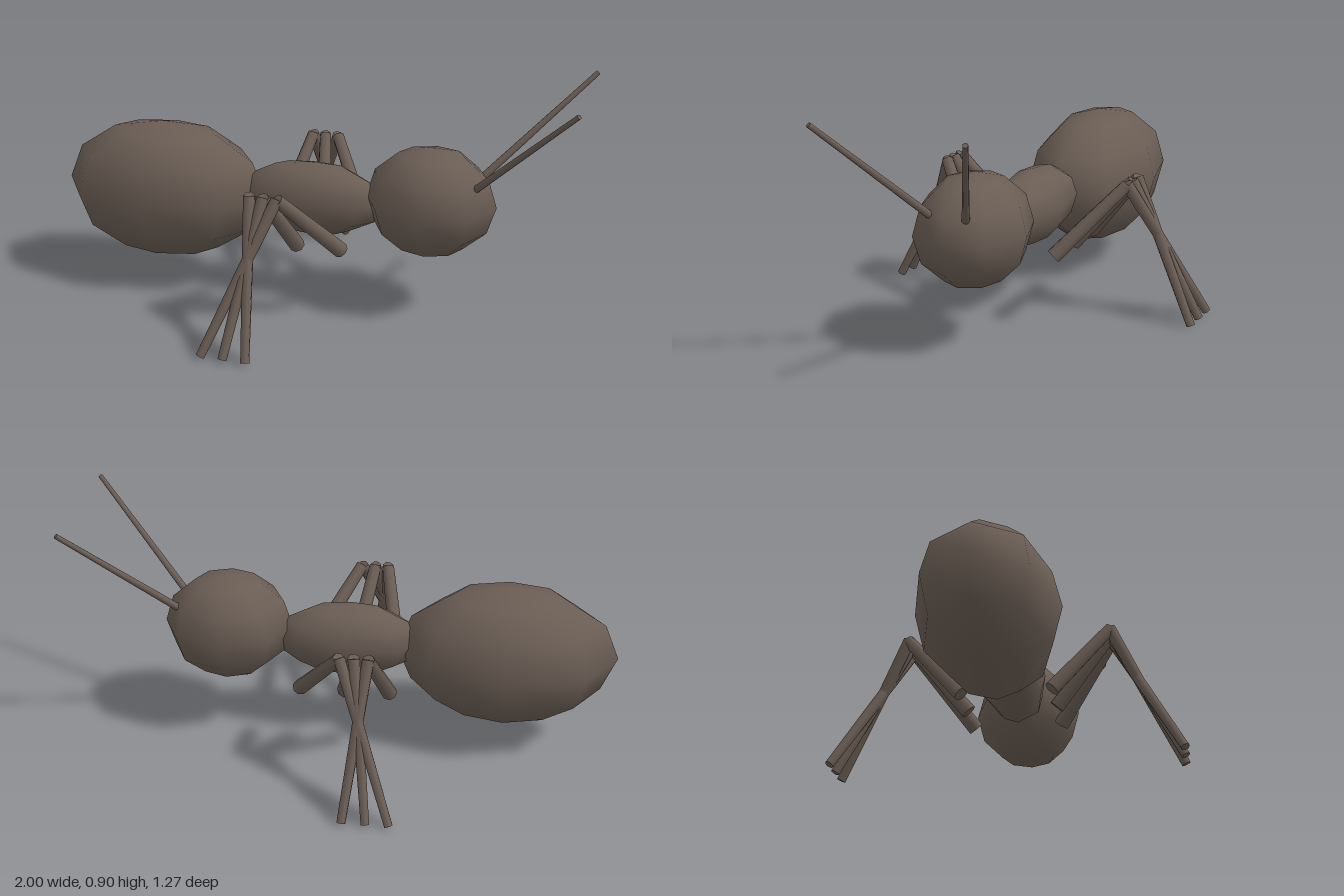
import * as THREE from 'three';

export function createModel() {
  const model = new THREE.Group();
  model.name = 'ant';
  const brown = new THREE.MeshStandardMaterial({ color: 0x6a5d54 });
  brown.name = 'greyBrown';

  // Low-poly ellipsoid body segment
  function segment(name, center, radii) {
    const mesh = new THREE.Mesh(new THREE.SphereGeometry(1, 8, 6), brown);
    mesh.name = name;
    mesh.position.set(...center);
    mesh.scale.set(...radii);
    model.add(mesh);
  }

  // Tapered rod between two points
  function rod(parent, name, from, to, r0, r1) {
    const a = new THREE.Vector3(...from);
    const dir = new THREE.Vector3(...to).sub(a);
    const mesh = new THREE.Mesh(new THREE.CylinderGeometry(r1, r0, dir.length(), 8), brown);
    mesh.name = name;
    mesh.position.copy(a).addScaledVector(dir, 0.5);
    mesh.quaternion.setFromUnitVectors(new THREE.Vector3(0, 1, 0), dir.normalize());
    parent.add(mesh);
  }

  // Body
  segment('abdomen', [-0.59, 0.377, 0], [0.41, 0.267, 0.248]);
  segment('thorax', [0, 0.4, 0], [0.285, 0.14, 0.122]);
  segment('head', [0.453, 0.437, 0], [0.243, 0.205, 0.205]);

  // Hip, knee and foot x for each pair of legs
  const legs = [
    ['rear', -0.17, -0.112, -0.046],
    ['middle', -0.005, -0.062, -0.13],
    ['front', 0.163, -0.01, -0.212],
  ];
  for (const side of [1, -1]) {
    for (const [pair, hip, knee, foot] of legs) {
      const leg = new THREE.Group();
      leg.name = pair + 'Leg';
      rod(leg, 'upperLeg', [hip, 0.27, side * 0.163], [knee, 0.523, side * 0.375], 0.029, 0.023);
      rod(leg, 'lowerLeg', [knee, 0.525, side * 0.372], [foot, 0.008, side * 0.622], 0.022, 0.016);
      model.add(leg);
    }
    rod(model, 'antenna', [0.632, 0.528, side * 0.07], [0.993, 0.893, side * 0.28], 0.014, 0.009);
  }
  return model;
}
